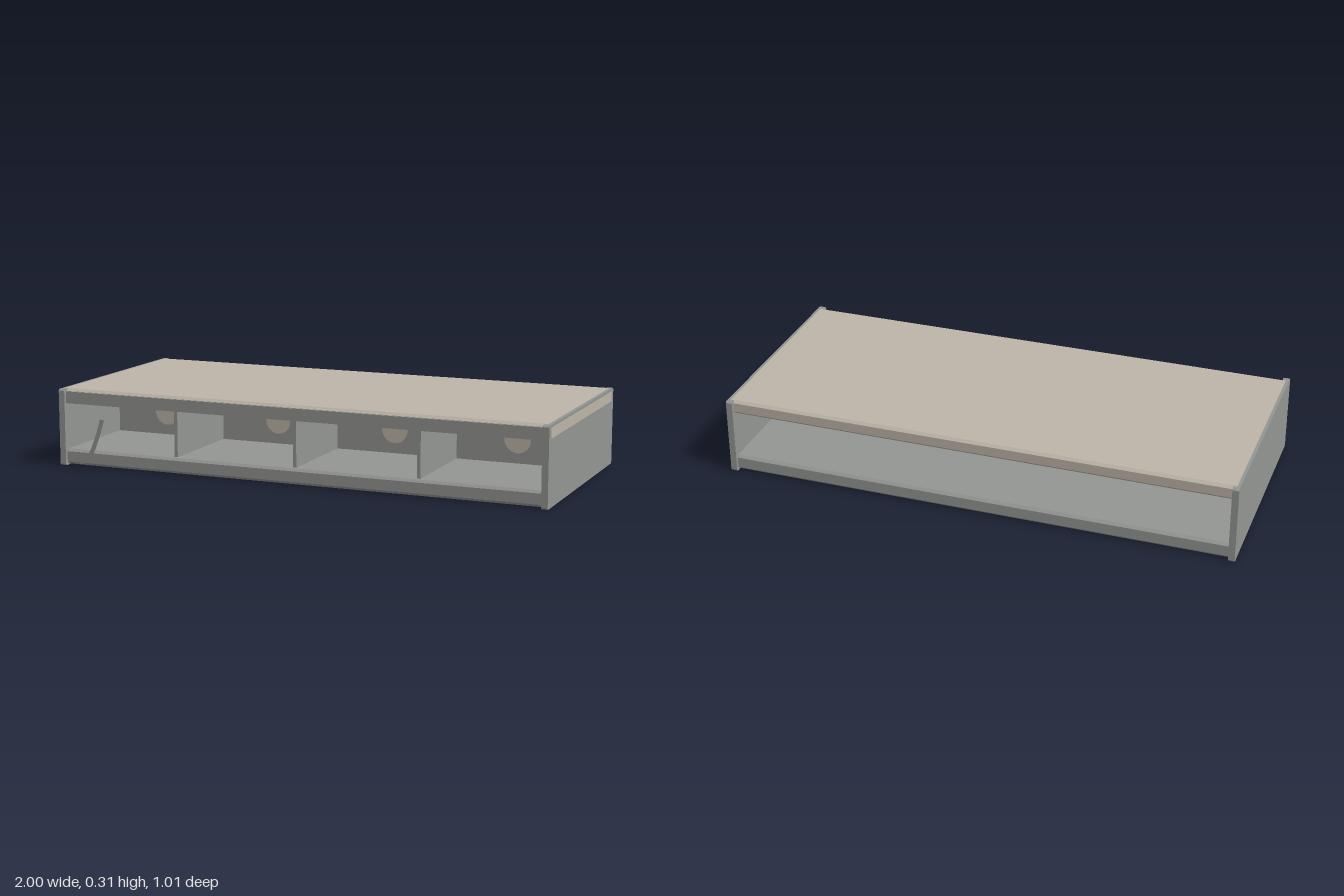
import * as THREE from 'three';

const grey = new THREE.MeshStandardMaterial({ color: 0x949693 });
grey.name = 'grey laminate';
const beige = new THREE.MeshStandardMaterial({ color: 0xbdb5a8 });
beige.name = 'beige board';
const greySheet = new THREE.MeshStandardMaterial({ color: 0x949693, side: THREE.DoubleSide });
greySheet.name = 'grey strap';

// Box given by its limits
function box(name, material, [x0, x1], [y0, y1], [z0, z1]) {
  const mesh = new THREE.Mesh(new THREE.BoxGeometry(x1 - x0, y1 - y0, z1 - z0), material);
  mesh.position.set((x0 + x1) / 2, (y0 + y1) / 2, (z0 + z1) / 2);
  mesh.name = name;
  return mesh;
}

// Board with chamfered long edges, extruded along x
function board(name, material, [x0, x1], [y0, y1], [z0, z1], c) {
  const s = new THREE.Shape([
    [z0 + c, y0], [z1 - c, y0], [z1, y0 + c], [z1, y1 - c],
    [z1 - c, y1], [z0 + c, y1], [z0, y1 - c], [z0, y0 + c],
  ].map(([z, y]) => new THREE.Vector2(-z, y)));
  const geo = new THREE.ExtrudeGeometry(s, { depth: x1 - x0, bevelEnabled: false });
  geo.rotateY(Math.PI / 2);
  geo.translate(x0, 0, 0);
  const mesh = new THREE.Mesh(geo, material);
  mesh.name = name;
  return mesh;
}

export function createModel() {
  const model = new THREE.Group();
  model.name = 'lowBench';

  // Side panels
  for (const [name, x] of [['leftSide', 0.975], ['rightSide', -1]]) {
    model.add(board(name, grey, [x, x + 0.025], [0, 0.305], [-0.505, 0.38], 0.006));
  }
  // Exposed edge strip on one side
  model.add(box('sideStrip', beige, [0.998, 1.001], [0.255, 0.294], [-0.478, 0.355]));

  // Top and base boards
  model.add(board('topBoard', beige, [-0.988, 0.988], [0.25, 0.306], [-0.493, 0.36], 0.01));
  model.add(box('topFrontTrim', grey, [-0.975, 0.975], [0.248, 0.295], [0.345, 0.367]));
  model.add(board('baseBoard', grey, [-0.978, 0.978], [0.004, 0.065], [-0.493, 0.367], 0.01));

  // Middle partition with four round inserts
  model.add(box('partition', grey, [-0.975, 0.975], [0.06, 0.255], [-0.068, -0.056]));
  for (const x of [-0.75, -0.25, 0.25, 0.75]) {
    const disc = new THREE.Mesh(new THREE.CircleGeometry(0.053, 32), beige);
    disc.position.set(x, 0.158, -0.054);
    disc.name = 'roundInsert';
    model.add(disc);
  }

  // Compartment dividers
  for (const x of [-0.502, 0, 0.498]) {
    model.add(box('divider', grey, [x - 0.007, x + 0.007], [0.064, 0.251], [-0.06, 0.345]));
  }

  // Flat curved strap hanging in front
  const curve = new THREE.CatmullRomCurve3(
    [[-0.735, 0.222], [-0.757, 0.155], [-0.787, 0.085], [-0.81, 0.058], [-0.836, 0.05]]
      .map(([x, y]) => new THREE.Vector3(x, y, 0)));
  const edgeA = [], edgeB = [];
  for (let i = 0; i <= 16; i++) {
    const p = curve.getPointAt(i / 16), t = curve.getTangentAt(i / 16);
    edgeA.push(new THREE.Vector2(p.x - t.y * 0.009, p.y + t.x * 0.009));
    edgeB.unshift(new THREE.Vector2(p.x + t.y * 0.009, p.y - t.x * 0.009));
  }
  const strap = new THREE.Mesh(
    new THREE.ShapeGeometry(new THREE.Shape([...edgeA, ...edgeB])), greySheet);
  strap.position.z = 0.505;
  strap.name = 'strap';
  model.add(strap);

  return model;
}
